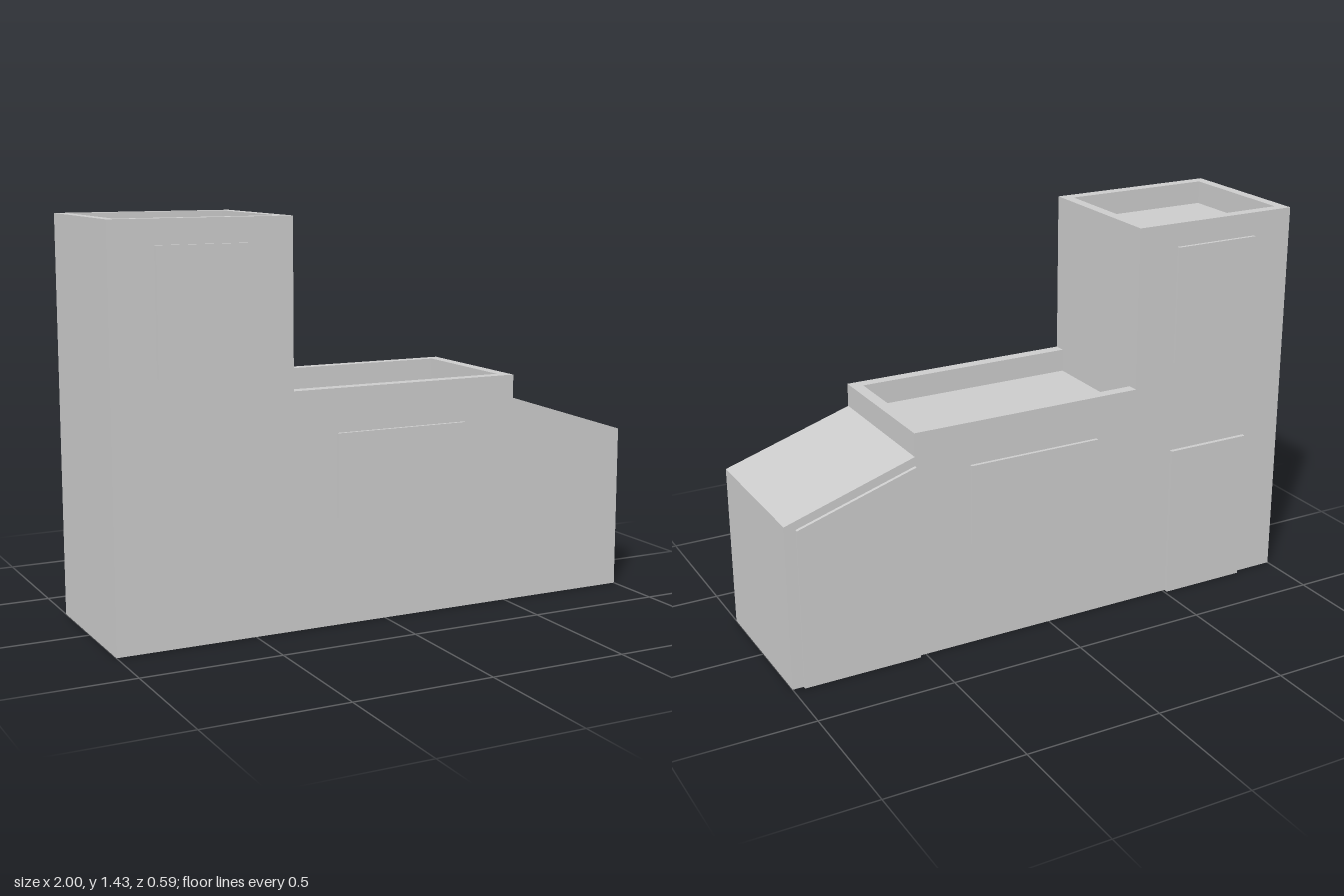
import * as THREE from 'three';

const FRONT = 0.28, BACK = -0.277;      // wall planes
const TOWER_X = -0.353, HALL_X = 0.525; // where the tower and the hall end
const material = new THREE.MeshStandardMaterial({ color: 0xcccccc, flatShading: true });

const shapeOf = (points) => new THREE.Shape(points.map(([x, y]) => new THREE.Vector2(x, y)));

export function createModel() {
  const model = new THREE.Group();

  const add = (name, geometry) => {
    const mesh = new THREE.Mesh(geometry, material);
    mesh.name = name;
    model.add(mesh);
    return mesh;
  };

  // Upright outline in x, y given a thickness from z0 to z1
  const slab = (name, points, z0, z1) =>
    add(name, new THREE.ExtrudeGeometry(shapeOf(points), { depth: z1 - z0, bevelEnabled: false }).translate(0, 0, z0));

  const rect = (x0, x1, y0, y1) => [[x0, y0], [x1, y0], [x1, y1], [x0, y1]];

  // Flat plan in x, -z raised from y0 to y1
  const rim = (name, shape, y0, y1) =>
    add(name, new THREE.ExtrudeGeometry(shape, { depth: y1 - y0, bevelEnabled: false })
      .rotateX(-Math.PI / 2).translate(0, y0, 0));

  // Walls up to the roof floors, with the sloped annex at the right end
  slab('building', [
    [-1, 0], [1, 0], [1, 0.603], [HALL_X, 0.755],
    [TOWER_X, 0.755], [TOWER_X, 1.345], [-1, 1.345],
  ], BACK, FRONT);

  // Closed parapet around the tower roof
  const towerRim = shapeOf(rect(-1, TOWER_X, -FRONT, -BACK));
  towerRim.holes.push(shapeOf(rect(-0.96, -0.393, -0.236, 0.236)));
  rim('towerParapet', towerRim, 1.345, 1.43);

  // Three-sided parapet around the hall roof, open against the tower
  rim('hallParapet', shapeOf([
    [TOWER_X, -FRONT], [HALL_X, -FRONT], [HALL_X, -BACK], [TOWER_X, -BACK],
    [TOWER_X, 0.236], [0.482, 0.236], [0.482, -0.236], [TOWER_X, -0.236],
  ]), 0.755, 0.84);

  // Raised window panels on both long walls
  for (const [side, z0, z1] of [['front', FRONT, 0.293], ['back', -0.29, BACK]]) {
    slab(side + 'TowerWindow', rect(-0.84, -0.51, 0.915, 1.345), z0, z1);
    slab(side + 'HallWindow', rect(-0.19, 0.317, 0.387, 0.684), z0, z1);
  }

  // Back doors: a plain one in the tower, a slope-topped one in the annex
  slab('towerDoor', rect(-0.84, -0.51, 0, 0.575), -0.293, BACK);
  slab('annexDoor', [[HALL_X, 0], [0.96, 0], [0.96, 0.585], [HALL_X, 0.722]], -0.29, BACK);

  return model;
}
